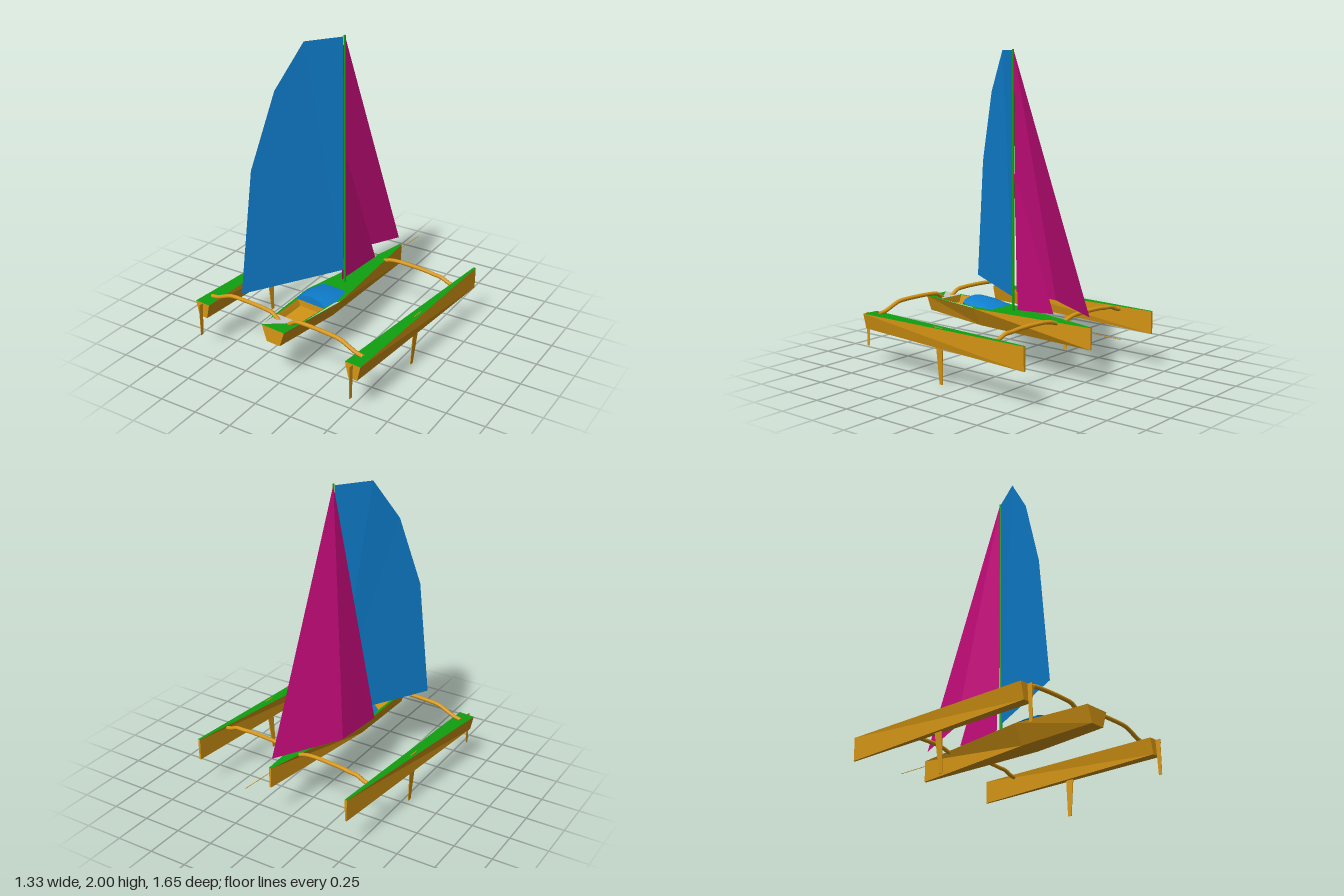
import * as THREE from 'three';

const mat = (name, color) => {
  const m = new THREE.MeshStandardMaterial({ color, side: THREE.DoubleSide });
  m.name = name;
  return m;
};

export function createModel() {
  const green = mat('deck green', 0x10a010);
  const orange = mat('hull orange', 0xd69614);
  const blue = mat('sail blue', 0x0f80d0);
  const magenta = mat('jib magenta', 0xc40c7a);
  const grey = mat('deck grey', 0xc8c8c8);

  const root = new THREE.Group();
  root.name = 'trimaran';
  // Boat group: symmetrical about its own axis, bow towards -z, yawed slightly
  const boat = new THREE.Group();
  boat.name = 'boat';
  boat.rotation.y = -0.0886;
  boat.position.set(0.032, 0, 0.003);
  root.add(boat);

  const add = (parent, name, geo, material) => {
    const mesh = new THREE.Mesh(geo, material);
    mesh.name = name;
    parent.add(mesh);
    return mesh;
  };

  // Flat-faced geometry from polygons, each fanned from its first corner
  const polys = (...faces) => {
    const pos = [];
    for (const f of faces)
      for (let i = 1; i < f.length - 1; i++) pos.push(...f[0], ...f[i], ...f[i + 1]);
    const g = new THREE.BufferGeometry();
    g.setAttribute('position', new THREE.Float32BufferAttribute(pos, 3));
    g.computeVertexNormals();
    return g;
  };

  // Open-topped hull from stations [z, half top, y top, half bottom, y bottom], bow first
  const hullShell = (stations) => {
    const rings = stations.map(([z, a, yt, b, yb]) =>
      [[a, yt, z], [b, yb, z], [-b, yb, z], [-a, yt, z]]);
    const faces = [[...rings[0]].reverse(), rings[rings.length - 1]];
    for (let i = 0; i < rings.length - 1; i++)
      for (let k = 0; k < 3; k++)
        faces.push([rings[i][k], rings[i + 1][k], rings[i + 1][k + 1], rings[i][k + 1]]);
    return polys(...faces.map((f) => [...f].reverse()));
  };

  // Main hull
  const deckY = 0.37;
  add(boat, 'mainHull', hullShell([
    [-0.605, 0.008, deckY, 0.006, 0.235],
    [0.26, 0.133, deckY, 0.07, 0.25],
    [0.753, 0.085, deckY, 0.05, 0.268],
  ]), orange);

  // Main deck with the cockpit opening cut out
  const v2 = (x, y) => new THREE.Vector2(x, y);
  const deck = new THREE.Shape([v2(0.008, -0.605), v2(0.133, 0.26), v2(0.085, 0.753),
    v2(-0.085, 0.753), v2(-0.133, 0.26), v2(-0.008, -0.605)]);
  deck.holes.push(new THREE.Path([v2(-0.102, 0.385), v2(0.102, 0.385),
    v2(0.086, 0.605), v2(-0.086, 0.605)]));
  add(boat, 'mainDeck', new THREE.ShapeGeometry(deck).rotateX(Math.PI / 2), green)
    .position.y = deckY;

  // Sunken cockpit: four walls and a floor
  const rim = [[-0.102, deckY, 0.385], [0.102, deckY, 0.385], [0.086, deckY, 0.605], [-0.086, deckY, 0.605]];
  const floor = rim.map(([x, , z]) => [x * 0.84, 0.325, z]);
  add(boat, 'cockpit', polys([...floor].reverse(), ...rim.map((p, i) => {
    const j = (i + 1) % 4;
    return [p, floor[i], floor[j], rim[j]];
  })), orange);

  // Grey deck panels
  const gy = deckY + 0.002;
  add(boat, 'greyDeckPanels', polys(
    [[-0.086, gy, 0.607], [-0.085, gy, 0.752], [0.086, gy, 0.607]],
    [[0.132, gy, 0.26], [0.112, gy, 0.29], [0.099, gy, 0.6]],
  ), grey);

  // Cabin roof: a plane bent into a low dome, highest near the cockpit
  const cols = 10, rows = 6;
  const roof = new THREE.PlaneGeometry(1, 1, cols, rows).rotateX(-Math.PI / 2);
  const p = roof.attributes.position;
  for (let i = 0; i < p.count; i++) {
    const u = p.getX(i) * 2, t = p.getZ(i) + 0.5;
    const half = 0.083 + 0.118 * t - 0.098 * t * t;
    const rise = 0.004 + 0.07 * t - 0.029 * t * t;
    p.setXYZ(i, u * half, deckY + 0.002 + rise * Math.sqrt(1 - 0.96 * u * u), 0.141 + 0.247 * t);
  }
  roof.computeVertexNormals();
  add(boat, 'cabinRoof', roof, blue);
  const aftEdge = [];
  for (let i = 0; i <= cols; i++) {
    const k = rows * (cols + 1) + i;
    aftEdge.push([p.getX(k), p.getY(k), p.getZ(k)]);
  }
  add(boat, 'cabinBack', polys([[-0.103, deckY, 0.388], [0.103, deckY, 0.388], ...aftEdge.reverse()]), blue);

  // Tapered blade: chord runs along z, bottom may be shifted sideways
  const blade = (top, bottom, thick) => {
    const ring = ([y, z0, z1, x], h) => [[x - h, y, z0], [x - h, y, z1], [x + h, y, z1], [x + h, y, z0]];
    const a = ring(top, thick), b = ring(bottom, thick * 0.6);
    return polys([...a], [...b].reverse(), ...a.map((q, i) => {
      const j = (i + 1) % 4;
      return [q, b[i], b[j], a[j]];
    }));
  };

  // Crossbeam half: arched tube from float to main hull
  const beam = (side, z, topY) => {
    const path = [[0.583, 0.347], [0.53, 0.357], [0.48, 0.378], [0.42, topY - 0.006], [0.36, topY],
      [0.15, topY], [0.09, topY - 0.008], [0.035, 0.362]];
    const curve = new THREE.CatmullRomCurve3(path.map(([x, y]) => new THREE.Vector3(x * side, y, z)));
    return new THREE.TubeGeometry(curve, 32, 0.013, 10);
  };

  for (const side of [1, -1]) {
    const label = side > 0 ? 'left' : 'right';
    // Outrigger float with its deck, daggerboard and rudder
    const float = new THREE.Group();
    float.name = label + 'Float';
    float.position.x = side * 0.578;
    boat.add(float);
    add(float, label + 'FloatHull', hullShell([
      [-0.613, 0.008, 0.373, 0.006, 0.228],
      [0.742, 0.054, 0.342, 0.032, 0.243],
    ]), orange);
    add(float, label + 'FloatDeck', polys([[-0.008, 0.373, -0.613], [-0.054, 0.342, 0.742],
      [0.054, 0.342, 0.742], [0.008, 0.373, -0.613]]), green);
    add(float, label + 'Daggerboard', blade([0.36, 0.05, 0.118, side * 0.01],
      [0, 0.082, 0.108, side * -0.018], 0.003), orange);
    add(float, label + 'Rudder', blade([0.34, 0.742, 0.774, 0], [0.122, 0.75, 0.772, 0], 0.002), orange);

    add(boat, label + 'AftBeam', beam(side, 0.648, 0.407), orange);
    add(boat, label + 'ForeBeam', beam(side, -0.363, 0.388), orange);
  }

  // Mast and bowsprit
  add(boat, 'mast', new THREE.CylinderGeometry(0.007, 0.009, 1.63, 10), green)
    .position.set(0, 1.183, 0.035);
  const sprit = add(boat, 'bowsprit', new THREE.CylinderGeometry(0.002, 0.002, 0.24, 6).rotateX(Math.PI / 2), orange);
  sprit.position.set(0, 0.34, -0.71);

  // Mainsail swung out on the right, twisting towards the head
  add(root, 'mainsail', polys([[0.022, 0.455, 0.045], [0.022, 1.99, 0.045], [-0.12, 1.99, 0.245],
    [-0.215, 1.725, 0.415], [-0.295, 1.26, 0.56], [-0.335, 0.465, 0.645]]), blue);

  // Large headsail with one crease, and a small staysail inside it
  add(root, 'headsail', polys([[0.028, 1.995, 0.035], [0.08, 0.43, -0.583],
    [-0.16, 0.43, -0.155], [-0.19, 0.43, 0.187]]), magenta);
  add(root, 'staysail', polys([[0.03, 1.25, 0.03], [0.058, 0.402, -0.3], [0.0, 0.37, 0.025]]), magenta);

  return root;
}
